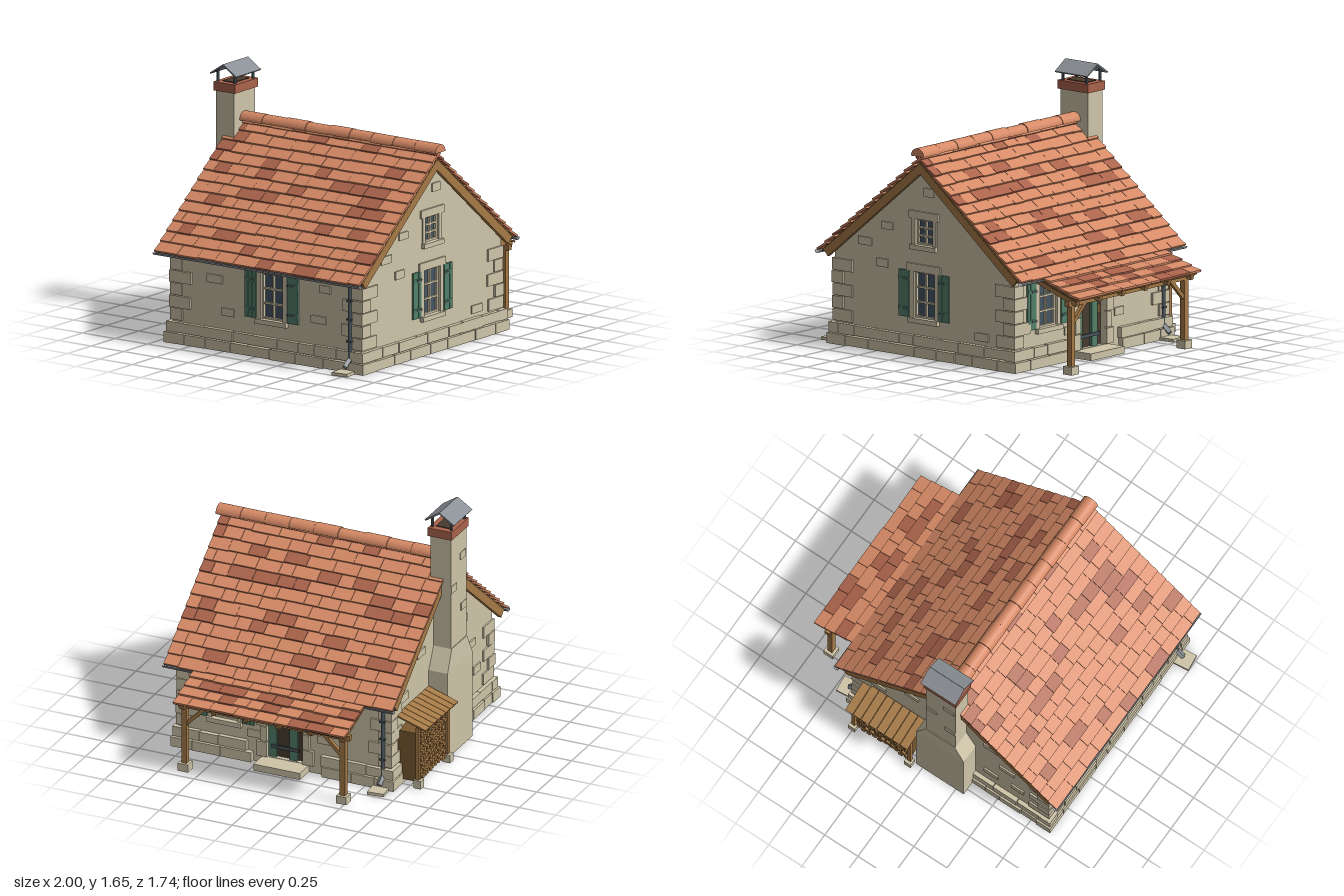
import * as THREE from 'three';
import { mergeGeometries } from 'three/addons/utils/BufferGeometryUtils.js';

const mat = (name, color, side = THREE.FrontSide) =>
  Object.assign(new THREE.MeshStandardMaterial({ color, side }), { name });
const M = {
  stone: mat('limestone', 0xcec4a8),
  tile: mat('clay tile', 0xd68a66),
  tileDark: mat('dark clay and brick', 0xab634b),
  timber: mat('timber', 0xa57a46),
  timberDark: mat('dark timber', 0x7a5930),
  shutter: mat('green paint', 0x52806a),
  glass: mat('window glass', 0x455664),
  iron: mat('dark iron', 0x4a545c),
  zinc: mat('zinc', 0x8b9096, THREE.DoubleSide),
  door: mat('dark doorway', 0x483b30),
};

export function createModel() {
  let seed = 7;
  const rnd = (a, b) => {
    seed = (seed * 16807) % 2147483647;
    return a + (b - a) * (seed / 2147483647);
  };
  const model = new THREE.Group();
  model.name = 'cottage';
  const sub = (parent, name, x = 0, y = 0, z = 0) => {
    const g = new THREE.Group();
    g.name = name;
    g.position.set(x, y, z);
    parent.add(g);
    return g;
  };
  const add = (parent, name, geo, m, x = 0, y = 0, z = 0) => {
    const mesh = new THREE.Mesh(geo, m);
    mesh.name = name;
    mesh.position.set(x, y, z);
    parent.add(mesh);
    return mesh;
  };
  // Box given by its centre and size
  const box = (p, name, m, x, y, z, w, h, d) => add(p, name, new THREE.BoxGeometry(w, h, d), m, x, y, z);
  // Square timber between two points
  const beam = (p, name, m, a, b, t) => {
    const A = new THREE.Vector3(...a), B = new THREE.Vector3(...b);
    const mesh = box(p, name, m, 0, 0, 0, t, t, A.distanceTo(B));
    mesh.position.copy(A).lerp(B, 0.5);
    mesh.quaternion.setFromUnitVectors(new THREE.Vector3(0, 0, 1), B.sub(A).normalize());
    return mesh;
  };

  // Walls: four panels round a square plan, each in a group facing outward
  const H = 0.73;
  const house = sub(model, 'house', -0.13, 0, 0.07);
  const face = (name, turn) => {
    const g = sub(house, name);
    g.rotation.y = turn * Math.PI / 2;
    return sub(g, name + 'Face', 0, 0, H);
  };
  const panel = (f, pts, holes) => {
    const s = new THREE.Shape(pts.map(p => new THREE.Vector2(...p)));
    for (const [x, y, w, h] of holes)
      s.holes.push(new THREE.Path([[x - w / 2, y], [x - w / 2, y + h], [x + w / 2, y + h], [x + w / 2, y]]
        .map(p => new THREE.Vector2(...p))));
    add(f, 'wall', new THREE.ExtrudeGeometry(s, { depth: 0.05, bevelEnabled: false }), M.stone, 0, 0, -0.05);
  };
  const gable = [[-H, 0], [H, 0], [H, 0.625], [0, 1.224], [-H, 0.625]];
  const S = H - 0.005, side = [[-S, 0], [S, 0], [S, 0.625], [-S, 0.625]];

  // Window with glazing bars, stone dressing and optional shutters
  const windowUnit = (f, x, y, w, h, rows, shutters) => {
    const g = sub(f, 'window', x, y, 0);
    box(g, 'glass', M.glass, 0, h / 2, -0.03, w, h, 0.008);
    for (const s of [-1, 0, 1]) box(g, 'glazingBar', M.stone, s * (w / 2 - 0.006), h / 2, -0.018, 0.012, h, 0.018);
    for (let i = 0; i <= rows; i++)
      box(g, 'glazingBar', M.stone, 0, 0.006 + i * (h - 0.012) / rows, -0.018, w, 0.012, 0.016);
    box(g, 'lintel', M.stone, 0, h + 0.024, 0, w + 0.1, 0.05, 0.026);
    box(g, 'sill', M.stone, 0, -0.015, 0.006, w + 0.07, 0.03, 0.04);
    for (const s of [-1, 1]) {
      box(g, 'jamb', M.stone, s * (w / 2 + 0.015), h / 2, 0, 0.03, h, 0.016);
      if (!shutters) continue;
      const leaf = sub(g, 'shutter', s * (w / 2 + 0.078), h / 2, 0.005);
      for (const k of [-1, 0, 1]) box(leaf, 'board', M.shutter, k * 0.028, 0, 0, 0.0265, h, 0.014);
      for (const k of [-1, 1]) {
        box(leaf, 'batten', M.shutter, 0, k * h * 0.32, 0.007, 0.078, 0.024, 0.008);
        box(leaf, 'hinge', M.iron, -s * 0.018, k * h * 0.32, 0.012, 0.05, 0.01, 0.004);
      }
    }
  };

  // Rubble footing in two courses, with an optional doorway gap
  const plinth = (f, gap) => {
    for (let row = 0; row < 2; row++) {
      const out = 0.04 - row * 0.008;
      for (let x = -H - out; x < H + out - 0.01;) {
        let w = rnd(0.1, 0.22);
        if (H + out - x - w < 0.07) w = H + out - x;
        const depth = out + 0.045 + rnd(-0.008, 0.004), h = 0.068 + rnd(-0.007, 0);
        if (!gap || x + w < gap[0] || x > gap[1])
          box(f, 'plinthStone', M.stone, x + w / 2, row * 0.07 + 0.035, out - depth / 2 + rnd(-0.006, 0), w - 0.004, h, depth);
        x += w;
      }
    }
  };
  const loose = (f, list) => list.forEach(([x, y]) =>
    box(f, 'facingStone', M.stone, x, y, 0, rnd(0.08, 0.12), rnd(0.045, 0.055), 0.02));

  const front = face('frontWall', 0), right = face('rightWall', 1), back = face('backWall', 2), left = face('leftWall', 3);
  panel(front, gable, [[0, 0.245, 0.17, 0.295], [0, 0.71, 0.14, 0.165]]);
  windowUnit(front, 0, 0.245, 0.17, 0.295, 3, true);
  windowUnit(front, 0, 0.71, 0.14, 0.165, 3, false);
  loose(front, [[0.04, 1.05], [-0.3, 0.8], [-0.48, 0.68], [-0.34, 0.56], [0.47, 0.19]]);
  panel(back, gable, []);
  loose(back, [[0.3, 0.72], [0.42, 0.5], [0.5, 0.3], [-0.3, 0.75], [0.3, 0.28], [-0.55, 0.55]]);
  panel(right, side, [[-0.41, 0.245, 0.17, 0.295], [0.01, 0.05, 0.25, 0.42]]);
  windowUnit(right, -0.41, 0.245, 0.17, 0.295, 3, true);
  loose(right, [[0.27, 0.24], [0.4, 0.4], [-0.2, 0.19]]);
  panel(left, side, [[0.04, 0.245, 0.17, 0.295]]);
  windowUnit(left, 0.04, 0.245, 0.17, 0.295, 3, true);
  loose(left, [[-0.4, 0.45], [-0.3, 0.25], [0.4, 0.3], [0.45, 0.5]]);
  plinth(front); plinth(back); plinth(left); plinth(right, [-0.12, 0.14]);

  // Door with stone surround and step
  const door = sub(right, 'door', 0.01, 0.05, 0);
  box(door, 'doorway', M.door, 0, 0.21, -0.04, 0.25, 0.42, 0.02);
  for (const x of [-0.098, 0.047]) box(door, 'doorBoard', M.shutter, x, 0.21, -0.02, 0.053, 0.42, 0.02);
  box(door, 'doorStrap', M.iron, -0.01, 0.075, -0.006, 0.19, 0.022, 0.008);
  box(door, 'handle', M.timber, 0.085, 0.23, -0.02, 0.018, 0.055, 0.02);
  box(door, 'doorLintel', M.stone, 0, 0.445, 0.004, 0.38, 0.05, 0.03);
  for (const s of [-1, 1]) for (let i = 0; i < 4; i++) {
    const w = i % 2 ? 0.045 : 0.07;
    box(door, 'doorQuoin', M.stone, s * (0.125 + w / 2), 0.052 + i * 0.105, 0.004, w, 0.1, 0.034);
  }
  box(door, 'step', M.stone, 0, -0.025, 0.06, 0.32, 0.045, 0.15);

  // Alternating corner stones
  for (const sx of [-1, 1]) for (const sz of [-1, 1]) for (let i = 0; i < 5; i++) {
    const a = i % 2 ? 0.09 : 0.155 + rnd(-0.01, 0.01), b = i % 2 ? 0.155 + rnd(-0.01, 0.01) : 0.09, o = H + rnd(0.01, 0.016);
    box(house, 'quoin', M.stone, sx * (o - a / 2), 0.185 + i * 0.08, sz * (o - b / 2), a, 0.075, b);
  }

  // Courses of overlapping tiles: x runs down the slope, y is the roof normal
  const tileField = (g, L, W, rows) => {
    const bins = { tile: [], tileDark: [] }, pitch = L / rows;
    for (let i = 0; i < rows; i++) {
      for (let z = -W / 2; z < W / 2 - 0.005;) {
        let w = rnd(0.09, 0.19);
        if (W / 2 - z - w < 0.06) w = W / 2 - z;
        const t = new THREE.BoxGeometry(pitch * 1.16, 0.014, w - 0.002);
        t.rotateZ(0.14 + rnd(-0.012, 0.012));
        t.translate((i + 0.42) * pitch + rnd(-0.003, 0.003), -0.014 + rnd(-0.001, 0.001), z + w / 2);
        bins[rnd(0, 1) < 0.2 ? 'tileDark' : 'tile'].push(t);
        z += w;
      }
    }
    for (const k in bins) if (bins[k].length) add(g, k === 'tile' ? 'roofTiles' : 'darkRoofTiles', mergeGeometries(bins[k]), M[k]);
  };

  // Main roof: two matching slopes
  const roof = sub(model, 'roof', -0.13, 1.285, 0.065);
  const L = Math.hypot(0.84, 0.69);
  for (const turn of [0, Math.PI]) {
    const half = sub(roof, 'roofSide');
    half.rotation.y = turn;
    const slope = sub(half, 'slope');
    slope.rotation.z = -Math.atan2(0.69, 0.84);
    tileField(slope, L, 1.58, 13);
    box(slope, 'roofDeck', M.timberDark, L / 2, -0.037, 0, L - 0.06, 0.012, 1.56);
    for (const s of [-1, 1]) box(slope, 'bargeboard', M.timber, L / 2 - 0.003, -0.064, s * 0.768, L - 0.08, 0.05, 0.025);
  }
  // Half-round ridge tiles
  for (let i = 0; i < 9; i++) {
    const arc = new THREE.Shape();
    arc.absarc(0, 0, 0.052 - (i % 2) * 0.003, 0, Math.PI);
    const geo = new THREE.ExtrudeGeometry(arc, { depth: 0.166, bevelEnabled: false, curveSegments: 6 });
    add(roof, 'ridgeTile', geo, M.tile, 0, 0.003 + rnd(-0.003, 0.003), 0.639 - i * 0.168);
  }

  // Chimney: broad base, tapered shoulder, stack, brick collar and tent cap
  const ch = sub(model, 'chimney', -0.13, 0, 0);
  box(ch, 'chimneyBase', M.stone, 0, 0.29, -0.715, 0.36, 0.58, 0.15);
  const shoulder = new THREE.BoxGeometry(0.36, 0.14, 0.15), sp = shoulder.attributes.position;
  for (let i = 0; i < sp.count; i++) if (sp.getY(i) > 0) sp.setXYZ(i, sp.getX(i) * 0.61, 0.07, sp.getZ(i) * 0.93);
  shoulder.computeVertexNormals();
  add(ch, 'shoulder', shoulder, M.stone, 0, 0.65, -0.715);
  box(ch, 'stack', M.stone, 0, 1.09, -0.71, 0.22, 0.78, 0.14);
  for (const [x, y] of [[-0.07, 0.95], [0.07, 1.12], [-0.06, 1.3]]) box(ch, 'stackStone', M.stone, x, y, -0.776, 0.08, 0.05, 0.016);
  box(ch, 'brickCollar', M.tileDark, 0, 1.5, -0.708, 0.245, 0.056, 0.165);
  box(ch, 'flue', M.door, 0, 1.53, -0.708, 0.16, 0.006, 0.09);
  for (const s of [-1, 1]) {
    for (const x of [-0.095, 0.095]) box(ch, 'capPost', M.iron, x, 1.56, -0.71 + s * 0.065, 0.014, 0.085, 0.012);
    const cap = box(ch, 'capPlate', M.zinc, 0, 1.613, -0.71 + s * 0.049, 0.262, 0.009, 0.12);
    cap.rotation.x = s * 0.58;
  }

  // Porch along the right side
  const porch = sub(model, 'porch');
  const pr = sub(porch, 'porchRoof', 0.61, 0.63, 0.06);
  pr.rotation.z = -0.325;
  tileField(pr, 0.412, 1.18, 5);
  box(pr, 'porchDeck', M.timberDark, 0.2, -0.034, 0, 0.38, 0.012, 1.16);
  for (let i = 0; i < 6; i++) box(pr, 'rafter', M.timber, 0.19, -0.058, -0.55 + i * 0.22, 0.39, 0.036, 0.03);
  box(porch, 'eavesBeam', M.timber, 0.9, 0.45, 0.06, 0.035, 0.035, 1.18);
  for (const [z, s] of [[0.61, -1], [-0.48, 1]]) {
    box(porch, 'post', M.timber, 0.9, 0.245, z, 0.036, 0.39, 0.036);
    box(porch, 'postFoot', M.stone, 0.9, 0.026, z, 0.07, 0.052, 0.07);
    beam(porch, 'brace', M.timber, [0.9, 0.31, z], [0.9, 0.44, z + s * 0.13], 0.024);
  }

  // Firewood store against the back wall
  const store = sub(model, 'firewoodStore');
  box(store, 'logPile', M.timberDark, 0.295, 0.195, -0.725, 0.4, 0.33, 0.13);
  for (let r = 0; r < 8; r++) for (let c = 0; c < 10 - r % 2; c++) {
    const log = add(store, 'logEnd', new THREE.CylinderGeometry(0.0175, 0.0175, 0.03, 8), M.timber,
      0.115 + (c + (r % 2) / 2) * 0.04, 0.05 + r * 0.041, -0.79 + rnd(-0.008, 0.006));
    log.rotation.x = Math.PI / 2;
  }
  for (const x of [0.085, 0.505]) {
    box(store, 'storePost', M.timber, x, 0.23, -0.805, 0.024, 0.36, 0.024);
    box(store, 'storeFoot', M.stone, x, 0.027, -0.81, 0.05, 0.054, 0.05);
  }
  box(store, 'storeRail', M.timber, 0.295, 0.405, -0.805, 0.44, 0.022, 0.022);
  for (let i = 0; i < 8; i++) {
    const plank = box(store, 'roofPlank', M.timber, 0.089 + i * 0.0588, 0.44, -0.765, 0.056, 0.01, 0.215);
    plank.rotation.x = -0.31;
  }

  // Gutters, downpipes and splash stones
  const drains = sub(model, 'drainage', -0.13, 0, 0);
  const gutter = (x, z0, z1) => {
    const g = add(drains, 'gutter', new THREE.CylinderGeometry(0.018, 0.018, z1 - z0, 10, 1, true, -Math.PI / 2, Math.PI),
      M.zinc, x, 0.584, (z0 + z1) / 2);
    g.rotation.x = Math.PI / 2;
  };
  gutter(-0.826, -0.73, 0.86);
  gutter(0.826, -0.73, -0.53);
  gutter(0.826, 0.65, 0.86);
  for (const [s, z] of [[-1, 0.72], [1, -0.615]]) {
    const pipe = box(drains, 'downpipe', M.iron, s * 0.746, 0.32, z, 0.024, 0.52, 0.024);
    pipe.geometry = new THREE.CylinderGeometry(0.013, 0.013, 0.52, 10);
    for (const y of [0.2, 0.34, 0.46]) box(drains, 'pipeBracket', M.iron, s * 0.746, y, z, 0.03, 0.012, 0.036);
    beam(drains, 'pipeShoe', M.zinc, [s * 0.75, 0.085, z], [s * 0.8, 0.045, z], 0.026);
    const splash = box(drains, 'splashStone', M.stone, s * 0.81, 0.01, z, 0.11, 0.02, 0.11);
    splash.rotation.y = 0.1;
  }
  return model;
}
